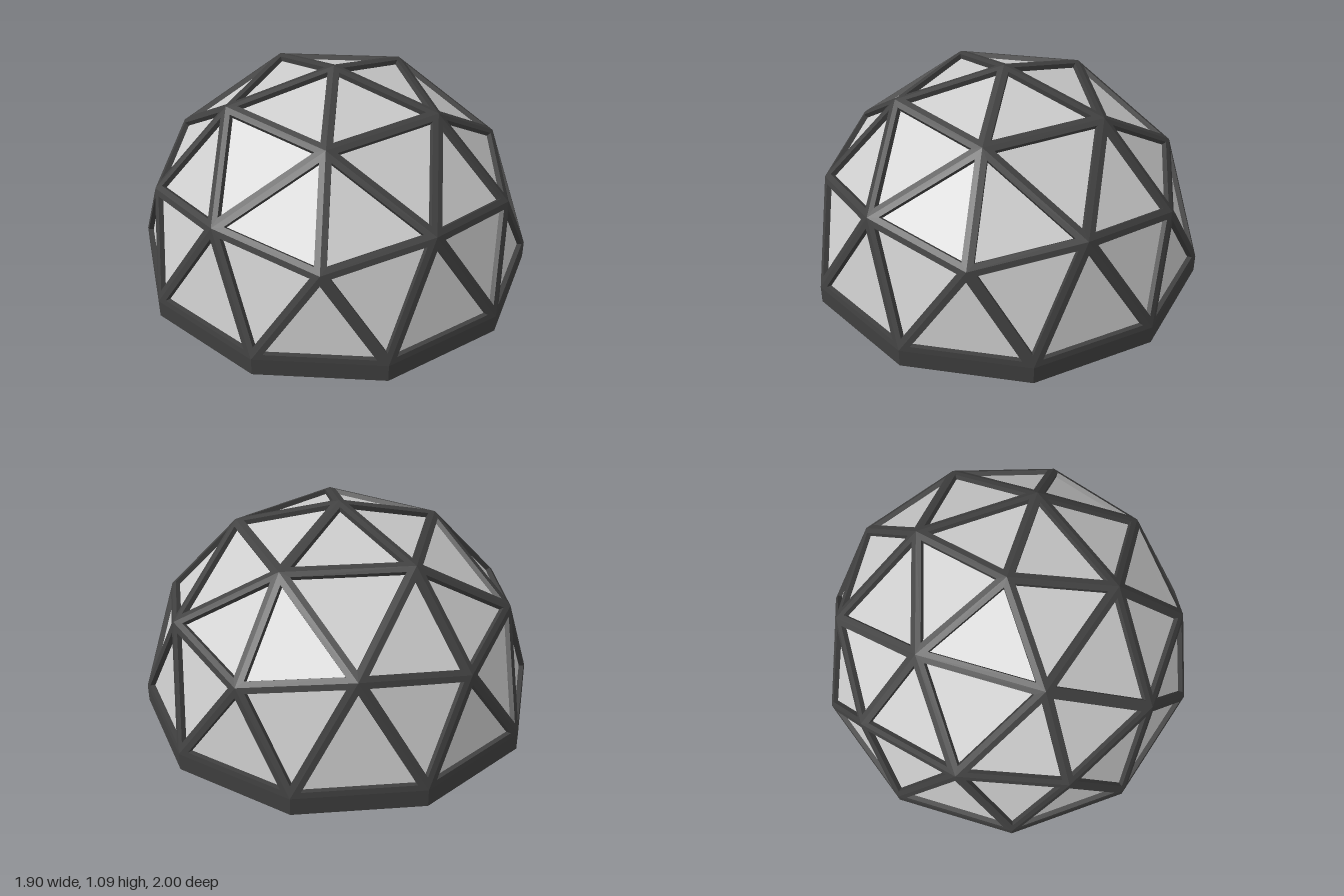
import * as THREE from 'three';

const BASE = 0.09;    // height of the plinth below the dome's equator
const STRUT = 0.028;  // half width of a strut
const DEPTH = 0.95;   // inner radius of the frame
const GLASS = 0.975;  // radius scale of the panels

// Point on the unit sphere from polar angle and azimuth in degrees
const onSphere = (polar, azimuth) => new THREE.Vector3().setFromSphericalCoords(
  1, THREE.MathUtils.degToRad(polar), THREE.MathUtils.degToRad(90 - azimuth));

// Triangles of the two-frequency geodesic hemisphere, facing outward
function domeTriangles() {
  const pole = onSphere(0, 0);
  const upper = (k) => onSphere(31.717, 72 * k);
  const middle = (j) => onSphere(j % 2 ? 58.283 : 63.435, 36 * j);
  const equator = (j) => onSphere(90, 36 * j + 18);
  const tris = [];
  for (let k = 0; k < 5; k++) {
    tris.push([pole, upper(k), upper(k + 1)]);
    tris.push([upper(k), middle(2 * k + 1), upper(k + 1)]);
    tris.push([upper(k), middle(2 * k), middle(2 * k + 1)]);
    tris.push([upper(k + 1), middle(2 * k + 1), middle(2 * k + 2)]);
  }
  for (let j = 0; j < 10; j++) {
    tris.push([middle(j), equator(j), middle(j + 1)]);
    tris.push([middle(j + 1), equator(j), equator(j + 1)]);
  }
  return tris.map(([a, b, c]) => {
    const normal = b.clone().sub(a).cross(c.clone().sub(a));
    return normal.dot(a) > 0 ? [a, b, c] : [a, c, b];
  });
}

// Triangle with its sides moved inward by a fixed width
function inset([a, b, c], width) {
  const la = b.distanceTo(c), lb = c.distanceTo(a), lc = a.distanceTo(b);
  const perimeter = la + lb + lc;
  const centre = new THREE.Vector3().addScaledVector(a, la / perimeter)
    .addScaledVector(b, lb / perimeter).addScaledVector(c, lc / perimeter);
  const area2 = b.clone().sub(a).cross(c.clone().sub(a)).length();
  return [a, b, c].map((p) => p.clone().lerp(centre, width * perimeter / area2));
}

const quad = (out, a, b, c, d) => out.push(a, b, c, a, c, d);

function flatMesh(name, points, material) {
  const geometry = new THREE.BufferGeometry().setFromPoints(points);
  geometry.computeVertexNormals();
  const mesh = new THREE.Mesh(geometry, material);
  mesh.name = name;
  return mesh;
}

export function createModel() {
  const group = new THREE.Group();
  group.name = 'geodesicDome';
  const dark = new THREE.MeshStandardMaterial({ color: 0x404040, flatShading: true });
  const pane = new THREE.MeshStandardMaterial({
    color: 0xcccccc, flatShading: true, side: THREE.DoubleSide });

  // Mitred struts around each triangle, with a recessed panel in the opening
  const struts = [], panels = [];
  for (const outer of domeTriangles()) {
    const opening = inset(outer, STRUT);
    const deep = (p, s = DEPTH) => p.clone().multiplyScalar(s);
    for (let i = 0; i < 3; i++) {
      const a = outer[i], b = outer[(i + 1) % 3];
      const c = opening[(i + 1) % 3], d = opening[i];
      quad(struts, a, b, c, d);
      quad(struts, d, c, deep(c), deep(d));
      quad(struts, deep(d), deep(c), deep(b), deep(a));
    }
    panels.push(...opening.map((p) => deep(p, GLASS)));
  }

  // Ten-sided plinth ring under the equator
  const ring = [];
  const corner = (j, r, y) => onSphere(90, 36 * j + 18).multiplyScalar(r).setY(y);
  const section = [[1, 0], [1, -BASE], [DEPTH, -BASE], [DEPTH, 0]];
  for (let j = 0; j < 10; j++) {
    for (let i = 0; i < 4; i++) {
      const p = section[i], q = section[(i + 1) % 4];
      quad(ring, corner(j, ...p), corner(j + 1, ...p), corner(j + 1, ...q), corner(j, ...q));
    }
  }

  group.add(flatMesh('struts', struts, dark));
  group.add(flatMesh('panels', panels, pane));
  group.add(flatMesh('baseRing', ring, dark));
  group.children.forEach((mesh) => { mesh.position.y = BASE; });
  return group;
}
